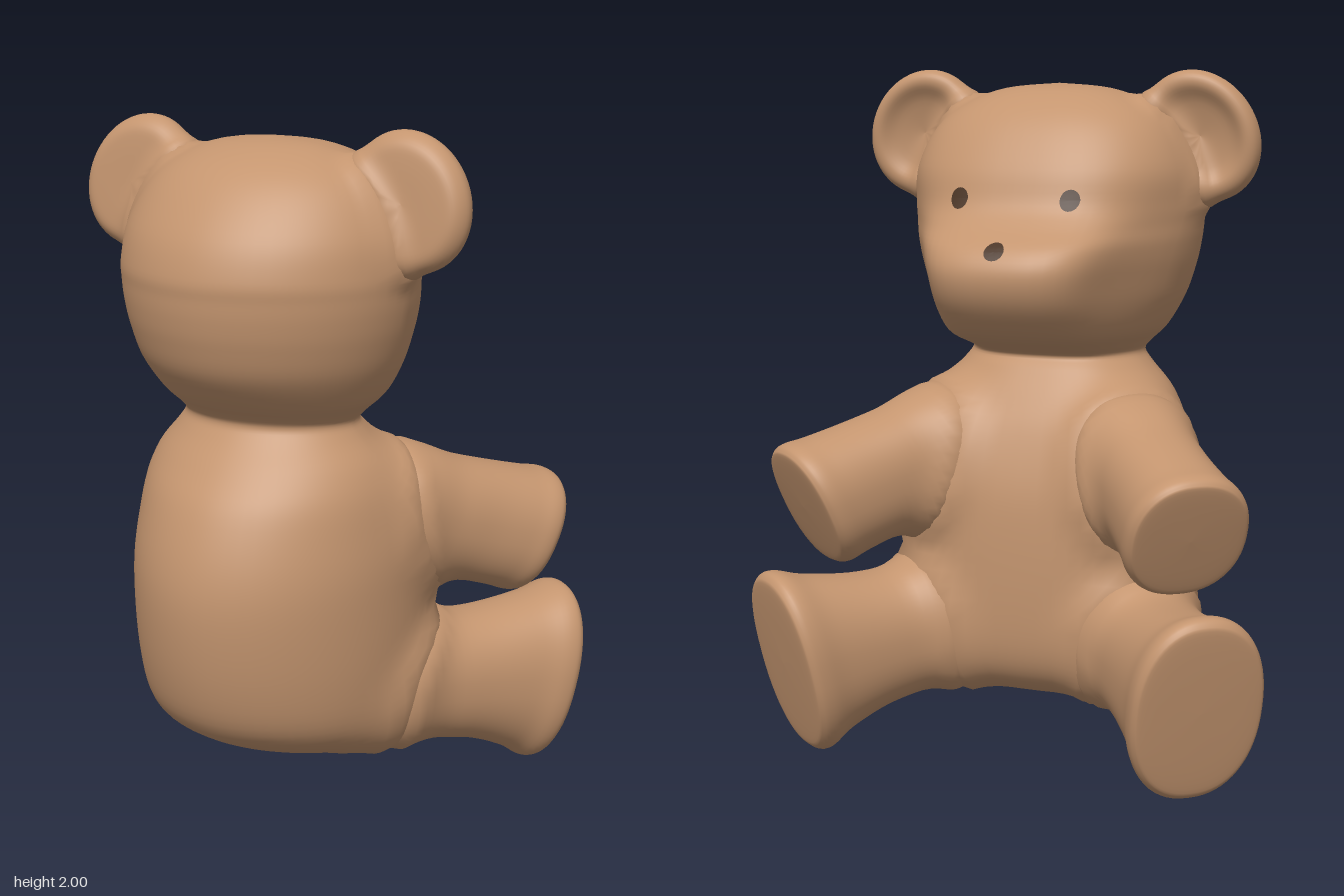
import * as THREE from 'three';

const fur = new THREE.MeshStandardMaterial({ color: 0xc4956f });
fur.name = 'tan fur';
const dark = new THREE.MeshStandardMaterial({ color: 0x4a3424 });
dark.name = 'dark brown';

// Smoothly interpolates a list of numeric rows
function smoothRows(rows, steps = 5) {
  const out = [];
  const last = rows.length - 1;
  for (let i = 0; i < last; i++) {
    const [p, a, b, q] = [rows[Math.max(i - 1, 0)], rows[i], rows[i + 1], rows[Math.min(i + 2, last)]];
    for (let k = 0; k < steps; k++) {
      const t = k / steps;
      out.push(a.map((v, n) => v + 0.5 * t * (b[n] - p[n]
        + t * (2 * p[n] - 5 * v + 4 * b[n] - q[n] + t * (3 * (v - b[n]) + q[n] - p[n])))));
    }
  }
  out.push(rows[last]);
  return out;
}

// Skins closed rings; place(row, angle) gives each point
function loft(rows, place, side = 1, n = 64) {
  const pos = [], idx = [];
  rows.forEach((row, i) => {
    for (let j = 0; j < n; j++) {
      const [x, y, z] = place(row, (j / n) * Math.PI * 2 * side);
      pos.push(x * side, y, z);
      if (i < rows.length - 1) {
        const A = i * n + j, B = i * n + (j + 1) % n;
        idx.push(A, A + n, B, B, A + n, B + n);
      }
    }
  });
  const g = new THREE.BufferGeometry();
  g.setAttribute('position', new THREE.Float32BufferAttribute(pos, 3));
  g.setIndex(idx);
  g.computeVertexNormals();
  return g;
}

// Superellipse direction
function round(a, e) {
  const c = Math.cos(a), s = Math.sin(a);
  return [Math.sign(c) * Math.abs(c) ** (2 / e), Math.sign(s) * Math.abs(s) ** (2 / e)];
}

// Swells a surface where it meets its neighbours, so that the joints run together softly
function fillet(geometry, joints) {
  const out = geometry.clone();
  const P = geometry.attributes.position.array, N = geometry.attributes.normal.array;
  const target = out.attributes.position.array;
  for (const [other, k] of joints) {
    const Q = other.attributes.position.array, M = other.attributes.normal.array;
    for (let i = 0; i < P.length; i += 3) {
      let best = Infinity, b = 0;
      for (let j = 0; j < Q.length; j += 3) {
        const d = (P[i] - Q[j]) ** 2 + (P[i + 1] - Q[j + 1]) ** 2 + (P[i + 2] - Q[j + 2]) ** 2;
        if (d < best) { best = d; b = j; }
      }
      const far = Math.sqrt(best);
      if (far > k + 0.03) continue;
      const plane = (P[i] - Q[b]) * M[b] + (P[i + 1] - Q[b + 1]) * M[b + 1] + (P[i + 2] - Q[b + 2]) * M[b + 2];
      const gap = plane < 0 ? plane : Math.max(plane, far - 0.03);
      const push = (Math.sqrt(k) - Math.sqrt(THREE.MathUtils.clamp(gap, k / 4, k))) ** 2;
      for (let n = 0; n < 3; n++) target[i + n] += N[i + n] * push;
    }
  }
  out.computeVertexNormals();
  return out;
}

// Torso and head: height, half width, back z, front z
const bodyRows = smoothRows([
  [0.13, 0, 0.06, 0.06],
  [0.133, 0.2, 0.19, -0.04],
  [0.155, 0.3, 0.27, -0.11],
  [0.21, 0.38, 0.4, -0.18],
  [0.3, 0.42, 0.51, -0.22],
  [0.45, 0.437, 0.565, -0.235],
  [0.65, 0.44, 0.59, -0.235],
  [0.8, 0.435, 0.575, -0.22],
  [0.95, 0.41, 0.52, -0.175],
  [1.05, 0.365, 0.45, -0.125],
  [1.13, 0.295, 0.385, -0.075],
  [1.17, 0.27, 0.36, -0.055],
  [1.2, 0.29, 0.375, -0.15],
  [1.25, 0.34, 0.43, -0.29],
  [1.34, 0.39, 0.505, -0.38],
  [1.43, 0.42, 0.54, -0.41],
  [1.5, 0.435, 0.555, -0.38],
  [1.56, 0.442, 0.56, -0.3],
  [1.62, 0.443, 0.56, -0.245],
  [1.72, 0.425, 0.525, -0.208],
  [1.83, 0.365, 0.445, -0.14],
  [1.9, 0.28, 0.36, -0.065],
  [1.945, 0.16, 0.25, 0.03],
  [1.96, 0, 0.15, 0.15],
]);
// The widest line moves back towards the head, and the cheeks pinch in beside the muzzle
function bodyPoint([y, w, back, front], a) {
  const mid = 0.06 + 0.09 * THREE.MathUtils.smoothstep(y, 0.85, 1.17);
  const pinch = 1.4 * Math.exp(-(((y - 1.41) / 0.22) ** 2));
  const behind = Math.sin(a) > 0;
  const [c, s] = round(a, behind ? 1.9 : 2.4);
  if (behind) return [w * c, y, mid + s * (back - mid)];
  return [w * c * (1 - pinch * s * s * (1 + s)), y, mid + s * (mid - front)];
}

// Depth of the face surface at a given x and y
function faceZ(x, y) {
  const i = bodyRows.findIndex((r) => r[0] >= y);
  const a = bodyRows[i - 1], b = bodyRows[i];
  const t = (y - a[0]) / (b[0] - a[0]);
  const row = a.map((v, n) => v + (b[n] - v) * t);
  let low = -Math.PI / 2, high = 0;
  for (let k = 0; k < 30; k++) {
    const m = (low + high) / 2;
    if (bodyPoint(row, m)[0] < Math.abs(x)) low = m; else high = m;
  }
  return bodyPoint(row, low)[2];
}

// Thin oval that follows the face
function facePatch(x, y, rx, ry) {
  const g = new THREE.RingGeometry(0.0005, 1, 24, 4);
  g.rotateY(Math.PI);
  g.scale(rx, ry, 1);
  g.translate(x, y, 0);
  const p = g.attributes.position;
  for (let i = 0; i < p.count; i++) p.setZ(i, faceZ(p.getX(i), p.getY(i)) - 0.007);
  g.computeVertexNormals();
  return g;
}

// Limb rows: distance from tip, centre height, half width, half height, lean
const armRows = smoothRows([
  [-0.56, 0.87, 0.14, 0.15, 0.3],
  [-0.44, 0.872, 0.165, 0.175, 0.35],
  [-0.32, 0.832, 0.165, 0.172, 0.4],
  [-0.2, 0.798, 0.163, 0.172, 0.42],
  [-0.09, 0.767, 0.17, 0.175, 0.43],
  [-0.03, 0.75, 0.177, 0.18, 0.43],
  [0, 0.742, 0.168, 0.17, 0.43],
  [0.01, 0.74, 0.14, 0.14, 0.43],
  [0.014, 0.74, 0, 0, 0.43],
]);
const legRows = smoothRows([
  [-0.66, 0.34, 0.15, 0.15, 0],
  [-0.54, 0.33, 0.18, 0.185, 0],
  [-0.4, 0.318, 0.175, 0.195, 0.05],
  [-0.26, 0.303, 0.172, 0.207, 0.12],
  [-0.12, 0.288, 0.178, 0.242, 0.2],
  [-0.04, 0.279, 0.192, 0.276, 0.23],
  [0, 0.275, 0.187, 0.265, 0.23],
  [0.012, 0.275, 0.155, 0.215, 0.23],
  [0.016, 0.275, 0, 0, 0.23],
]);
const limbPoint = (tipX, tipZ) => ([d, cy, w, h, lean], a) => {
  const [c, s] = round(a, 2.25);
  const out = d + s * h * lean;
  return [tipX + 0.6 * out + 0.8 * w * c, cy + h * s, tipZ - 0.8 * out + 0.6 * w * c];
};

// Ear rows: size and depth towards the face, with a shallow hollow
const earRows = smoothRows([
  [0, -0.052], [0.55, -0.052], [0.84, -0.044], [0.99, -0.008], [0.95, 0.032],
  [0.78, 0.045], [0.5, 0.022], [0, 0.006],
]);
function earPoint([size, depth], a) {
  const long = 0.2 * size * Math.sin(a), short = 0.172 * size * Math.cos(a);
  const up = 0.83 * long + 0.55 * short;
  return [0.437 - 0.55 * long + 0.83 * short, 1.808 + up, 0.155 - depth - 0.1 * up];
}

export function createModel() {
  const bear = new THREE.Group();
  bear.name = 'teddyBear';
  const add = (name, geometry, material) => {
    const mesh = new THREE.Mesh(geometry, material);
    mesh.name = name;
    bear.add(mesh);
  };

  const body = loft(bodyRows, bodyPoint);
  const joints = [];

  // Paired parts
  for (const side of [1, -1]) {
    const label = side > 0 ? 'left' : 'right';
    const parts = [
      ['Arm', loft(armRows, limbPoint(0.578, -0.412), side), 0.13],
      ['Leg', loft(legRows, limbPoint(0.627, -0.465), side), 0.13],
      ['Ear', loft(earRows, earPoint, side), 0.08],
    ];
    for (const [name, geometry, k] of parts) {
      joints.push([geometry, k]);
      add(label + name, fillet(geometry, [[body, k]]), fur);
    }
    add(label + 'Eye', facePatch(side * 0.167, 1.637, 0.028, 0.03), dark);
  }

  add('torsoAndHead', fillet(body, joints), fur);
  add('nose', facePatch(0, 1.502, 0.029, 0.024), dark);
  return bear;
}
